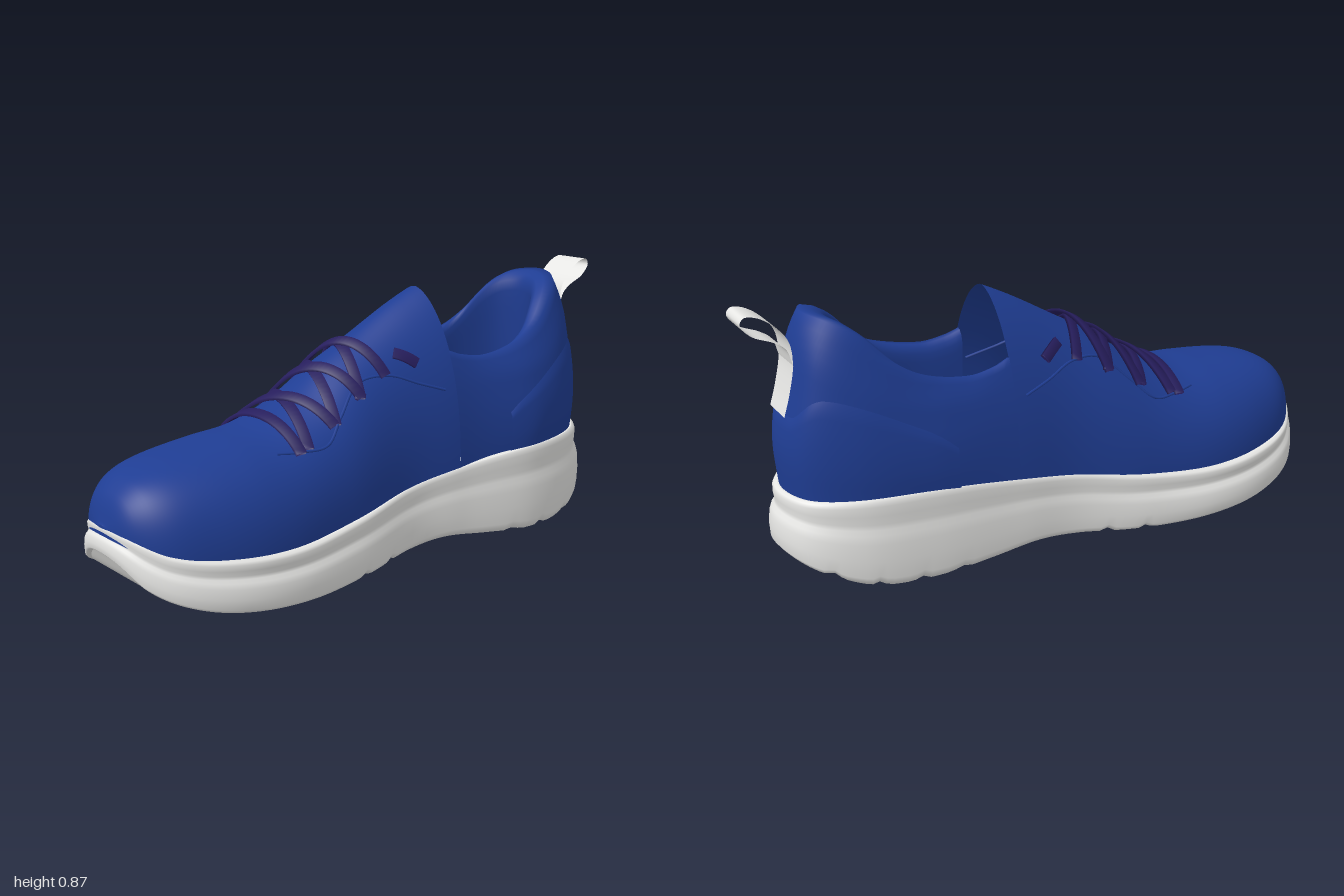
import * as THREE from 'three';

const V = (x, y, z) => new THREE.Vector3(x, y, z);
const { lerp, smoothstep } = THREE.MathUtils;

// Smooth function through [x, value] keys
function curve(keys) {
  const n = keys.length;
  const slope = (i) => {
    const a = keys[Math.max(0, i - 1)], b = keys[Math.min(n - 1, i + 1)];
    return (b[1] - a[1]) / (b[0] - a[0]);
  };
  return (x) => {
    if (x <= keys[0][0]) return keys[0][1];
    if (x >= keys[n - 1][0]) return keys[n - 1][1];
    let i = 0;
    while (x > keys[i + 1][0]) i++;
    const [x0, y0] = keys[i], [x1, y1] = keys[i + 1], d = x1 - x0, t = (x - x0) / d;
    const m0 = slope(i) * d, m1 = slope(i + 1) * d, t2 = t * t, t3 = t2 * t;
    return (2 * t3 - 3 * t2 + 1) * y0 + (t3 - 2 * t2 + t) * m0 + (3 * t2 - 2 * t3) * y1 + (t3 - t2) * m1;
  };
}

// Surface from a rule giving the point at (i, j); closed wraps i
function grid(nu, nv, point, closed = false) {
  const pos = [], idx = [], cols = closed ? nu : nu + 1;
  for (let i = 0; i < cols; i++) for (let j = 0; j <= nv; j++) pos.push(...point(i, j).toArray());
  for (let i = 0; i < nu; i++) for (let j = 0; j < nv; j++) {
    const k = (i + 1) % cols, a = i * (nv + 1) + j, b = k * (nv + 1) + j;
    idx.push(a, b, b + 1, a, b + 1, a + 1);
  }
  const g = new THREE.BufferGeometry();
  g.setAttribute('position', new THREE.Float32BufferAttribute(pos, 3));
  g.setIndex(idx);
  g.computeVertexNormals();
  return g;
}

// Sole outline: x, left z, right z, from toe to heel
const SIDE = [[-0.97, 0.15, -0.13], [-0.87, 0.26, -0.25], [-0.7, 0.325, -0.325], [-0.5, 0.335, -0.345],
  [-0.25, 0.29, -0.31], [0, 0.24, -0.255], [0.21, 0.255, -0.247], [0.5, 0.303, -0.242],
  [0.73, 0.268, -0.21], [0.88, 0.165, -0.125]];
const N = 220, HALF = 110, SPLIT = 70, REAR = N - 2 * SPLIT;
const outlineCurve = new THREE.CatmullRomCurve3([V(-1, 0, 0.01), ...SIDE.map((p) => V(p[0], 0, p[1])),
  V(0.93, 0, 0.025), ...SIDE.slice().reverse().map((p) => V(p[0], 0, p[2]))], true, 'catmullrom');
const outline = Array.from({ length: N }, (_, i) => outlineCurve.getPoint(i / N));
const outward = outline.map((_, i) => {
  const t = outline[(i + 1) % N].clone().sub(outline[(i + N - 1) % N]).normalize();
  return V(-t.z, 0, t.x);
});
const inset = (i, d) => outline[i % N].clone().addScaledVector(outward[i % N], -d);

// Side-on height curves
const soleTop = curve([[-1, 0.28], [-0.9, 0.22], [-0.7, 0.187], [-0.45, 0.178], [-0.2, 0.2], [0, 0.235],
  [0.2, 0.265], [0.4, 0.29], [0.6, 0.3], [0.93, 0.3]]);
const soleBottom = curve([[-1, 0.2], [-0.95, 0.12], [-0.85, 0.065], [-0.7, 0.03], [-0.45, 0.008],
  [-0.3, 0.005], [-0.15, 0.012], [0, 0.03], [0.15, 0.04], [0.3, 0.025], [0.5, 0.01], [0.7, 0.02],
  [0.85, 0.07], [0.93, 0.11]]);
const ridgeLine = curve([[-0.985, 0.285], [-0.97, 0.335], [-0.95, 0.37], [-0.9, 0.41], [-0.8, 0.44],
  [-0.6, 0.465], [-0.45, 0.483], [-0.3, 0.545], [-0.15, 0.645], [-0.05, 0.7], [0.1, 0.785], [0.21, 0.84]]);
const collar = curve([[0.21, 0.65], [0.26, 0.632], [0.35, 0.62], [0.5, 0.648], [0.6, 0.7], [0.7, 0.79],
  [0.76, 0.832], [0.8, 0.845]]);

// Foot of the upper, just inside the sole
const footInset = curve([[-1, 0.012], [-0.75, 0.042], [-0.4, 0.042], [0, 0.02], [0.25, 0.018], [0.6, 0.03], [0.93, 0.045]]);
const foot = outline.map((p, i) => inset(i, footInset(p.x)));
const leftZ = curve(foot.slice(0, SPLIT + 1).map((p) => [p.x, p.z]));
const rightZ = curve(Array.from({ length: SPLIT + 1 }, (_, i) => foot[(N - i) % N]).map((p) => [p.x, p.z]));
const pinch = curve([[-0.985, 0.75], [-0.6, 0.85], [-0.3, 1], [0.21, 1.2]]);

// Point on the arched front of the upper, and the angle that reaches a height
function arch(x, a) {
  const l = leftZ(x), r = rightZ(x), c = Math.cos(a), y0 = soleTop(x) - 0.02;
  const z = (l + r) / 2 + (l - r) / 2 * Math.sign(c) * Math.abs(c) ** pinch(x);
  return V(x, y0 + (ridgeLine(x) - y0) * Math.max(0, Math.sin(a)) ** 0.87, z);
}
function archAngle(x, y, left) {
  const y0 = soleTop(x) - 0.02, f = THREE.MathUtils.clamp((y - y0) / (ridgeLine(x) - y0), 0, 1);
  const a = Math.asin(f ** (1 / 0.87));
  return left ? a : Math.PI - a;
}
function onArch(x, a, lift) {
  const dx = arch(x + 0.01, a).sub(arch(x - 0.01, a)), da = arch(x, a + 0.02).sub(arch(x, a - 0.02));
  const n = dx.cross(da).normalize();
  if (n.y < 0) n.negate();
  return arch(x, a).addScaledVector(n, lift);
}

// Collar ridge and foot opening, running round the heel
const around = (pts) => new THREE.CatmullRomCurve3(pts.map(([x, z]) => V(x, 0, z)));
const rim = around([[0.21, 0.17], [0.42, 0.205], [0.62, 0.2], [0.75, 0.13], [0.8, 0.02],
  [0.75, -0.085], [0.62, -0.15], [0.42, -0.168], [0.21, -0.15]]);
const mouth = around([[0.21, 0.145], [0.4, 0.168], [0.57, 0.157], [0.68, 0.095], [0.715, 0.01],
  [0.68, -0.075], [0.57, -0.13], [0.4, -0.145], [0.21, -0.13]]);
const lean = curve([[0, 0], [0.3, -0.1], [0.6, 0.28], [0.85, 0.6], [0.95, 0.83], [1, 1]]);

// Rear wall: leans in at the heel, fuller at the sides, merging with the arch at its front ends
function wall(i, t) {
  const f = foot[SPLIT + i], r = rim.getPoint(i / REAR), y0 = soleTop(f.x) - 0.02;
  const full = 0.2 * Math.abs(outward[SPLIT + i].z) * smoothstep(t, 0.25, 0.6) * (1 - smoothstep(t, 0.75, 1));
  const p = f.clone().lerp(r, lean(t) - full);
  p.y = lerp(y0, collar(r.x), t);
  const x0 = foot[SPLIT].x, merge = 1 - smoothstep(Math.min(i, REAR - i), 0, 12);
  return p.lerp(arch(x0, archAngle(x0, p.y, i < REAR / 2)).setX(p.x).setY(p.y), merge);
}

export function createModel() {
  const model = new THREE.Group();
  const mat = (name, color) => {
    const m = new THREE.MeshStandardMaterial({ color, side: THREE.DoubleSide });
    m.name = name;
    return m;
  };
  const blue = mat('blue knit', 0x1f3d93), grey = mat('pale grey foam', 0xe6e6e4), purple = mat('purple lace', 0x271e5e);
  const add = (name, geometry, material) => {
    const m = new THREE.Mesh(geometry, material);
    m.name = name;
    model.add(m);
    return m;
  };

  // Sole side with a flared lower body and recessed top band: [height fraction, inset]
  const rows = [[0, 0.03], [0.04, 0.01], [0.1, 0.002], [0.3, 0], [0.5, 0.004], [0.6, 0.011], [0.66, 0.02],
    [0.72, 0.023], [0.82, 0.019], [0.93, 0.019], [0.98, 0.024], [1, 0.034]];
  const flare = curve([[-1, 0.6], [-0.75, 1], [-0.4, 1], [0, 0.5], [0.6, 0.55], [0.93, 1]]);
  const solePoint = (i, j) => {
    const x = outline[i % N].x, p = inset(i, rows[j][1] * flare(x));
    const notched = (x > -0.3 && x < 0) || (x > 0.35 && x < 0.85);
    const b = soleBottom(x) + (notched && j < 3 ? 0.012 * Math.max(0, Math.sin(x * 48)) ** 3 : 0);
    p.y = lerp(b, soleTop(x), rows[j][0]);
    return p;
  };
  add('soleSide', grid(N, rows.length - 1, solePoint, true), grey);
  const across = (row, i, s) => solePoint(i, row).lerp(solePoint((N - i) % N, row), s);
  add('footbed', grid(HALF, 6, (i, j) => across(rows.length - 1, i, 1 - j / 6)), grey);

  // Outsole, hollowed under the arch of the foot
  add('outsole', grid(HALF, 10, (i, j) => {
    const p = across(0, i, j / 10);
    p.y += 0.035 * Math.exp(-(((p.x - 0.2) / 0.17) ** 2)) * Math.sin(Math.PI * j / 10) ** 2;
    return p;
  }), grey);

  // Tread: small crossed bars under the forefoot and heel
  [-0.75, -0.6, -0.45, -0.3, 0.5, 0.65].forEach((x, k) => {
    for (const z of x < 0 ? [-0.17, 0, 0.17] : [-0.1, 0.14]) for (const turn of [0.5, -0.7]) {
      const bar = add('treadBar', new THREE.BoxGeometry(0.09, 0.008, 0.014), grey);
      bar.position.set(x, soleBottom(x) + 0.001, z + (k % 2) * 0.03);
      bar.rotation.set(0, turn, Math.atan((soleBottom(x + 0.03) - soleBottom(x - 0.03)) / 0.06));
    }
  });

  // Upper: arched front ending in the tongue
  add('vampAndTongue', grid(SPLIT, 48, (i, j) => arch(foot[i].x, Math.PI * j / 48)), blue);

  // Upper: heel wall rolling over the padded collar and down the lining
  add('heelAndCollar', grid(REAR, 30, (i, j) => {
    if (j <= 18) return wall(i, j / 18);
    const r = wall(i, 1), m = mouth.getPoint(i / REAR), s = (j - 18) / 12, roll = s / 0.3 * Math.PI / 2;
    const p = r.clone().lerp(m, s < 0.3 ? Math.sin(roll) : 1 - 0.6 * ((s - 0.3) / 0.7) ** 1.2);
    p.y = s < 0.3 ? r.y - 0.05 * (1 - Math.cos(roll)) : lerp(r.y - 0.05, soleTop(m.x) - 0.01, (s - 0.3) / 0.7);
    return p;
  }), blue);

  // Heel counter: thin overlay dipping behind the pull tab
  const counterTop = curve([[0.3, 0.27], [0.34, 0.34], [0.45, 0.45], [0.6, 0.53], [0.78, 0.61], [0.88, 0.62]]);
  add('heelCounter', grid(REAR - 14, 12, (i, j) => {
    const k = i + 7, f = foot[SPLIT + k], r = rim.getPoint(k / REAR), y0 = soleTop(f.x) - 0.02;
    const dip = f.x > 0.7 ? 0.07 * (1 - smoothstep(Math.abs(f.z - 0.02), 0.06, 0.15)) : 0;
    const t = Math.max(0, (counterTop(f.x) - dip - y0) / (collar(r.x) - y0));
    return wall(k, t * j / 12).addScaledVector(outward[SPLIT + k], j === 12 ? -0.001 : 0.005);
  }), blue);

  // Eyestay seams on both sides
  for (const left of [true, false]) {
    const pts = [[-0.48, 0.43], [-0.4, 0.425], [-0.31, 0.43], [-0.23, 0.5], [-0.13, 0.585], [-0.02, 0.595],
      [0.08, 0.56], [0.17, 0.53]].map(([x, y]) => onArch(x, archAngle(x, y, left), -0.001));
    add('eyestaySeam', new THREE.TubeGeometry(new THREE.CatmullRomCurve3(pts), 60, 0.005, 6), blue);
  }

  // Laces: flat bands laid over the arch from one angle to another
  function lace(name, x0, a0, x1, a1, lift) {
    const n = 24, at = (s, h) => onArch(lerp(x0, x1, s), lerp(a0, a1, s), h);
    add(name, grid(n, 4, (i, j) => {
      const s = i / n, h = 0.002 + lift * Math.sin(Math.PI * s);
      const c = at(s, h), up = at(s, h + 0.01).sub(c).normalize();
      const side = at(s + 0.01, h).sub(at(s - 0.01, h)).cross(up).normalize();
      const [w, v] = [[-1, 0], [1, 0], [1, 1], [-1, 1], [-1, 0]][j];
      return c.addScaledVector(side, w * 0.017).addScaledVector(up, v * 0.011);
    }), purple);
  }
  const lo = 0.265 * Math.PI, hi = 0.735 * Math.PI;
  lace('laceBar', -0.41, lo, -0.41, hi, 0.004);
  [-0.38, -0.26, -0.15].forEach((x) => {
    lace('laceCross', x, lo, x + 0.115, hi, 0.002);
    lace('laceCross', x + 0.115, lo, x, hi, 0.013);
  });
  for (const left of [true, false]) {
    lace('laceEnd', 0.02, archAngle(0.02, 0.655, left), 0.085, archAngle(0.085, 0.62, left), 0.003);
  }

  // Pull tab: ribbon up the heel, folded into a loop
  const tab = new THREE.CatmullRomCurve3([[0.889, 0.55], [0.868, 0.62], [0.851, 0.71], [0.86, 0.78], [0.9, 0.832],
    [0.95, 0.864], [0.985, 0.868], [0.997, 0.848], [0.965, 0.81], [0.905, 0.783], [0.868, 0.755],
    [0.85, 0.7]].map(([x, y]) => V(x, y, 0)));
  add('pullTab', grid(70, 2, (i, j) => tab.getPoint(i / 70).setZ(0.08 - 0.06 * j)), grey);

  return model;
}
